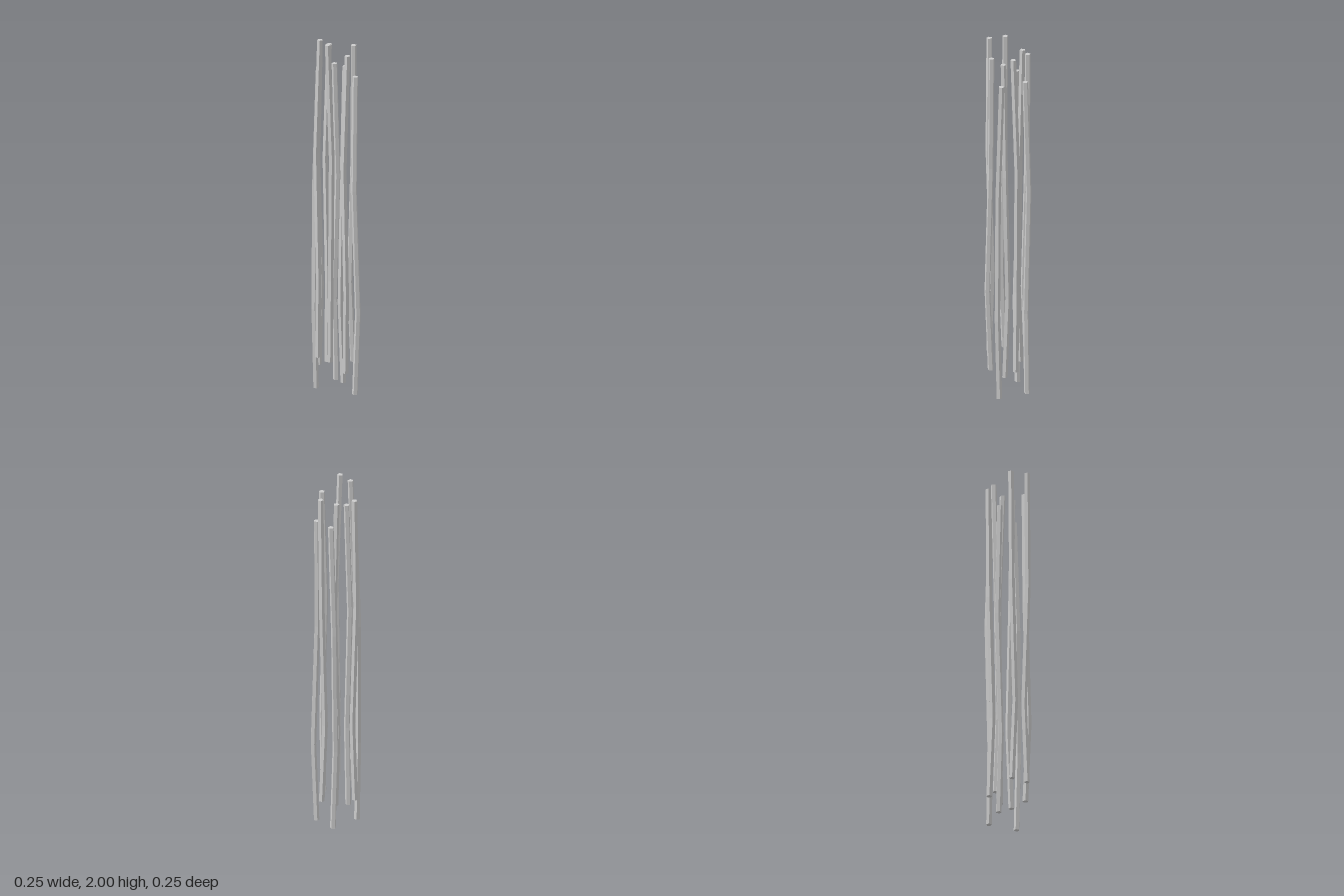
import * as THREE from 'three';

const RADIUS = 0.0158;

// Centre line of one stick, bottom to top, relative to its top end: [x, y, z]
const PATH = [
  [-0.003, 0, 0.012],
  [0.011, 0.45, 0.022],
  [-0.009, 1.15, 0.019],
  [0, 1.787, 0],
];

// Each stick: [x and z of the top, height of the base, turn in degrees]
const STICKS = [
  [-0.03, -0.108, 0.015, 72],
  [0.04, -0.096, 0.155, 108],
  [0.088, -0.056, 0, -50],
  [-0.092, -0.05, 0.14, 0],
  [0.098, 0.016, 0.14, 0],
  [0.014, 0.025, 0.08, 165],
  [-0.104, 0.011, 0.14, -30],
  [-0.088, 0.041, 0.015, 50],
  [-0.041, 0.078, 0.213, 0],
  [0.041, 0.109, 0.213, 205],
];

// Five-sided rod whose rings are shifted onto the crooked centre line
function stickGeometry() {
  const spans = PATH.length - 1;
  const geometry = new THREE.CylinderGeometry(RADIUS, RADIUS, spans, 5, spans, false, Math.PI);
  const pos = geometry.attributes.position;
  for (let i = 0; i < pos.count; i++) {
    const [x, y, z] = PATH[Math.round(pos.getY(i) + spans / 2)];
    pos.setXYZ(i, pos.getX(i) + x, y, pos.getZ(i) + z);
  }
  geometry.computeVertexNormals();
  return geometry;
}

export function createModel() {
  const bundle = new THREE.Group();
  bundle.name = 'stickBundle';
  const geometry = stickGeometry();
  const material = new THREE.MeshStandardMaterial({ color: 0xcccccc, flatShading: true });

  // Loose bundle: the same stick, turned and slid up or down
  STICKS.forEach(([x, z, base, turn], i) => {
    const stick = new THREE.Mesh(geometry, material);
    stick.name = `stick${i + 1}`;
    stick.position.set(x, base, z);
    stick.rotation.y = -THREE.MathUtils.degToRad(turn);
    bundle.add(stick);
  });
  return bundle;
}
